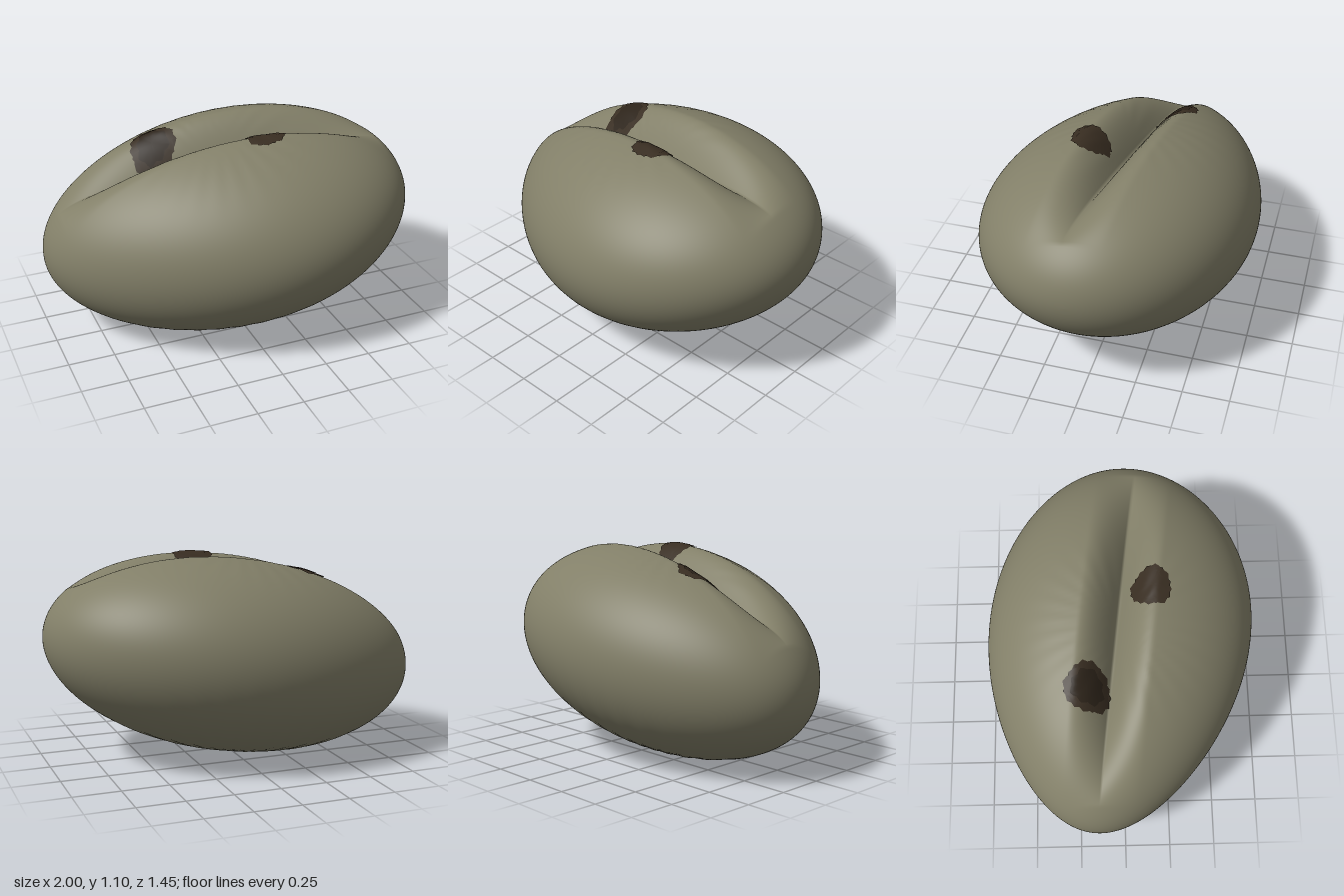
import * as THREE from 'three';

const skin = new THREE.MeshStandardMaterial({ color: 0x827f68 });
skin.name = 'olive skin';
const scarDark = new THREE.MeshStandardMaterial({ color: 0x2c2319, side: THREE.DoubleSide });
scarDark.name = 'dark scar';
const scarBrown = new THREE.MeshStandardMaterial({ color: 0x382d21, side: THREE.DoubleSide });
scarBrown.name = 'brown scar';

const { clamp, smoothstep } = THREE.MathUtils;

// Cross-section rules along the length x
const round = (x) => Math.sqrt(Math.max(0, 1 - x * x));
const midZ = (x) => -0.01 + 0.085 * x - 0.04 * x * x;
const halfZ = (x) => round(x) * (0.717 + 0.085 * x - 0.06 * x * x);
const midY = (x) => 0.557 + 0.115 * x;
const halfY = (x) => 0.543 * round(x);
const creaseZ = (x) => -0.02 + 0.125 * x;

// Depth of the V-shaped furrow along the top
function furrow(x, z) {
  const along = Math.max(0, 1 - ((x + 0.03) / 0.88) ** 2);
  const across = Math.max(0, 1 - Math.abs(z - creaseZ(x)) / 0.2);
  return 0.22 * along * across ** 1.7;
}

// Faint wrinkles fanning out from a point
function wrinkle(dx, dz, count, reach) {
  const r = Math.hypot(dx, dz);
  const fade = smoothstep(r, 0.06, 0.25) * (1 - smoothstep(r, reach * 0.5, reach));
  return fade * Math.cos(count * Math.atan2(dz, dx));
}

// Height of the surface; s runs from -1 underneath to 1 on top
function surfaceY(x, z, s) {
  const lean = -0.025 * z * (1 + s);
  const y = midY(x) + halfY(x) * s + lean;
  return s > 0
    ? y - furrow(x, z) + 0.001 * wrinkle(x + 0.07, z, 26, 0.6)
    : y + 0.0022 * wrinkle(x, z + 0.07, 30, 0.8);
}

function topY(x, z) {
  const r = (z - midZ(x)) / halfZ(x);
  return surfaceY(x, z, Math.sqrt(Math.max(0, 1 - r * r)));
}

// Seed body: rings along x, with columns gathered at the crease
function bodyGeometry(rows = 140, cols = 240) {
  const pos = [], index = [];
  for (let i = 0; i <= rows; i++) {
    const x = -Math.cos((Math.PI * i) / rows);
    const h = halfZ(x);
    const ratio = clamp((creaseZ(x) - midZ(x)) / Math.max(h, 0.05), -0.5, 0.5);
    const start = Math.acos(ratio);
    for (let j = 0; j < cols; j++) {
      const t = (2 * Math.PI * j) / cols;
      const a = start + t - 0.35 * Math.sin(t);
      const z = midZ(x) + h * Math.cos(a);
      pos.push(x, surfaceY(x, z, Math.sin(a)), z);
      if (i < rows) {
        const p = i * cols + j, q = i * cols + ((j + 1) % cols);
        index.push(p, p + cols, q, q, p + cols, q + cols);
      }
    }
  }
  const g = new THREE.BufferGeometry();
  g.setAttribute('position', new THREE.Float32BufferAttribute(pos, 3));
  g.setIndex(index);
  g.computeVertexNormals();
  return g;
}

// Ragged thin plate draped on the upper surface
function scarPlate(cx, cz, rx, rz, turn, lift, material) {
  const g = new THREE.RingGeometry(0.001, 1, 32, 8);
  g.rotateX(-Math.PI / 2);
  const p = g.attributes.position;
  for (let i = 0; i < p.count; i++) {
    const a = Math.atan2(p.getZ(i), p.getX(i));
    const r = Math.hypot(p.getX(i), p.getZ(i));
    const rag = 0.9 + 0.08 * Math.cos(8 * a) + 0.06 * Math.sin(3 * a + turn * 5);
    const x = cx + rx * r * rag * Math.cos(a + turn);
    const z = cz + rz * r * rag * Math.sin(a + turn);
    p.setXYZ(i, x, topY(x, z) + lift, z);
  }
  g.computeVertexNormals();
  return new THREE.Mesh(g, material);
}

function scar(name, cx, cz, rx, rz, centre) {
  const group = new THREE.Group();
  group.name = name;
  const layers = [
    [1, 0.2, 0.005, scarBrown],
    [0.97, 0.6, 0.007, scarBrown],
    [0.72, 0.4, 0.01, centre],
  ];
  layers.forEach(([size, turn, lift, material], i) => {
    const plate = scarPlate(cx, cz, rx * size, rz * size, turn, lift, material);
    plate.name = `${name}Layer${i + 1}`;
    group.add(plate);
  });
  return group;
}

export function createModel() {
  const model = new THREE.Group();
  model.name = 'seed';
  const body = new THREE.Mesh(bodyGeometry(), skin);
  body.name = 'seedBody';
  model.add(body);
  model.add(scar('backScar', -0.365, -0.18, 0.13, 0.125, scarDark));
  model.add(scar('frontScar', 0.14, 0.155, 0.115, 0.11, scarBrown));
  return model;
}
